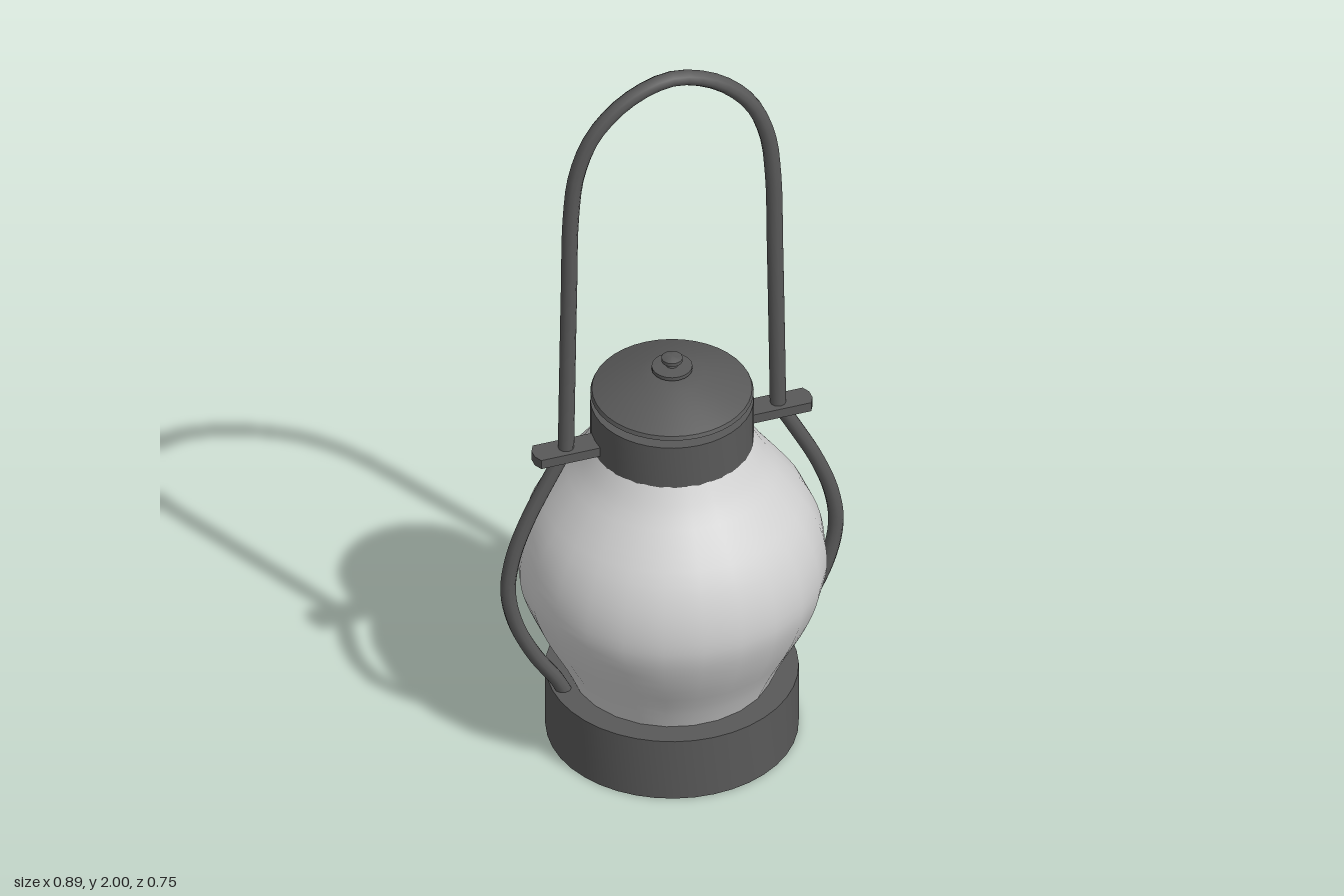
import * as THREE from 'three';
import { toCreasedNormals } from 'three/addons/utils/BufferGeometryUtils.js';

export function createModel() {
  const model = new THREE.Group();
  model.name = 'lantern';
  const metal = new THREE.MeshStandardMaterial({ color: 0x595959 });
  metal.name = 'dark metal';
  const glass = new THREE.MeshStandardMaterial({ color: 0xd2d2d2, side: THREE.DoubleSide });
  glass.name = 'frosted glass';

  const add = (name, geometry, material = metal) => {
    const mesh = new THREE.Mesh(geometry, material);
    mesh.name = name;
    model.add(mesh);
    return mesh;
  };
  const points = (list) => list.map(([x, y]) => new THREE.Vector2(x, y));
  // Turned part, profile from bottom to top
  const turned = (name, profile, segments = 32, crease = 0.6) =>
    add(name, toCreasedNormals(new THREE.LatheGeometry(points(profile), segments), crease));

  // Base and collar
  turned('base', [[0, 0], [0.31, 0], [0.31, 0.175], [0, 0.175]], 40);
  turned('collar', [[0, 0.865], [0.2, 0.865], [0.2, 0.995], [0, 0.995]], 40);

  // Bulging globe
  const globeCurve = new THREE.SplineCurve(points([
    [0.248, 0.17], [0.283, 0.25], [0.335, 0.35], [0.37, 0.44], [0.38, 0.51],
    [0.369, 0.59], [0.337, 0.67], [0.283, 0.75], [0.235, 0.815], [0.2, 0.875],
  ]));
  add('globe', new THREE.LatheGeometry(globeCurve.getPoints(24), 24, Math.PI / 24), glass);

  // Lid with a sloping top and a stepped knob
  turned('lid', [
    [0, 0.99], [0.165, 0.995], [0.2, 1.018], [0.196, 1.028],
    [0.14, 1.054], [0.08, 1.075], [0.05, 1.083], [0, 1.085],
  ], 40);
  turned('knob', [
    [0, 1.08], [0.035, 1.08], [0.05, 1.087], [0.05, 1.097], [0.015, 1.099],
    [0.013, 1.108], [0.026, 1.112], [0.026, 1.122], [0.012, 1.128], [0, 1.128],
  ], 20);

  // Bail handle over the top
  const handleHalf = [[0.275, 0.9], [0.272, 1.1], [0.267, 1.4], [0.262, 1.62],
    [0.246, 1.75], [0.2, 1.86], [0.11, 1.945]];
  const mirrored = handleHalf.map(([x, y]) => [-x, y]).reverse();
  const path = (list) => new THREE.CatmullRomCurve3(list.map(([x, y]) => new THREE.Vector3(x, y, 0)));
  add('handle', new THREE.TubeGeometry(path([...handleHalf, [0, 1.98], ...mirrored]), 64, 0.02, 10));

  // Side brackets with chamfered ends, and guard wires curving around the globe
  const bracketShape = new THREE.Shape(points([
    [0.17, -0.032], [0.35, -0.032], [0.36, -0.012], [0.36, 0.012], [0.35, 0.032], [0.17, 0.032],
  ]));
  for (const side of [1, -1]) {
    const label = side > 0 ? 'left' : 'right';
    const bracket = add(label + 'Bracket',
      new THREE.ExtrudeGeometry(bracketShape, { depth: 0.026, bevelEnabled: false }).rotateX(-Math.PI / 2));
    bracket.position.y = 0.89;
    if (side < 0) bracket.rotation.y = Math.PI;
    const wire = [[0.275, 0.91], [0.31, 0.845], [0.375, 0.715], [0.412, 0.61], [0.425, 0.51],
      [0.405, 0.405], [0.355, 0.295], [0.3, 0.21], [0.278, 0.165]];
    add(label + 'GuardWire', new THREE.TubeGeometry(path(wire.map(([x, y]) => [x * side, y])), 32, 0.019, 10));
  }
  return model;
}
